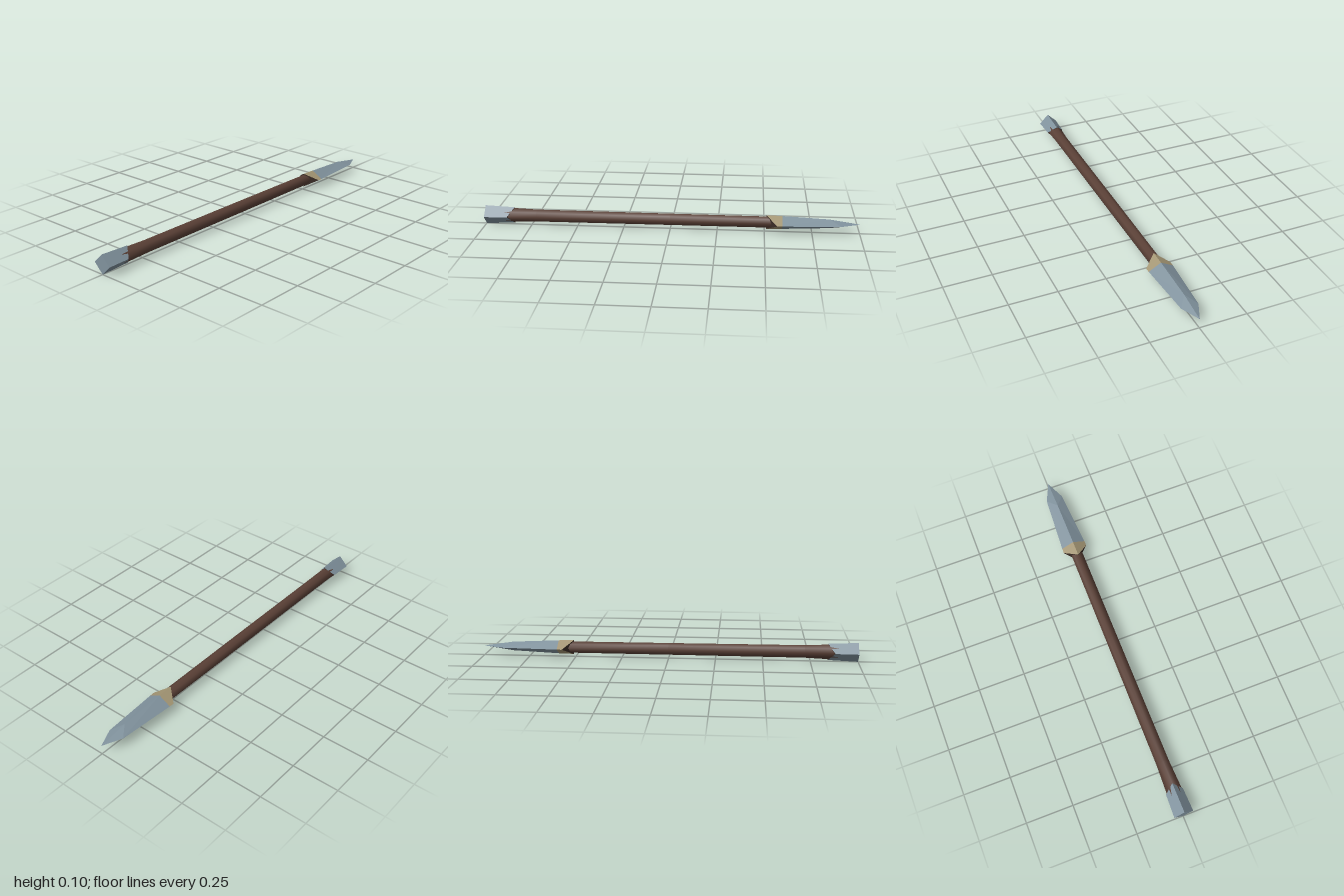
import * as THREE from 'three';

const MID = 0.051; // height of the long axis

const material = (name, color) => {
  const m = new THREE.MeshStandardMaterial({ color });
  m.name = name;
  return m;
};

// Diamond cross-section: top, front side, bottom, back side.
// The side corners may sit at another x, which gives a chevron edge.
const diamond = (xRidge, xSide, h, w) => [
  [xRidge, h, 0], [xSide, 0, w], [xRidge, -h, 0], [xSide, 0, -w],
];

// Eight-sided cross-section with separate axis and diagonal radii.
const octagon = (x, axis, diagonal) => Array.from({ length: 8 }, (_, i) => {
  const r = i % 2 ? diagonal : axis;
  const a = i * Math.PI / 4;
  return [x, r * Math.cos(a), r * Math.sin(a)];
});

// Skin between successive rings.
function loft(rings, smooth = false) {
  const n = rings[0].length;
  const index = [];
  for (let s = 0; s < rings.length - 1; s++) {
    for (let i = 0; i < n; i++) {
      const a = s * n + i, b = s * n + (i + 1) % n;
      index.push(a, b, a + n, b, b + n, a + n);
    }
  }
  return finish(rings.flat(), index, smooth);
}

// Two triangles closing a diamond ring, folded along the ridge line.
function endFace(ring, facesBack) {
  return finish(ring, facesBack ? [0, 2, 1, 0, 3, 2] : [0, 1, 2, 0, 2, 3], false);
}

function finish(points, index, smooth) {
  let g = new THREE.BufferGeometry();
  g.setAttribute('position', new THREE.Float32BufferAttribute(points.flat(), 3));
  g.setIndex(index);
  if (!smooth) g = g.toNonIndexed();
  g.computeVertexNormals();
  return g;
}

export function createModel() {
  const steel = material('steel', 0x80929d);
  const wood = material('wood', 0x5a4036);
  const darkWood = material('dark socket', 0x3a2c26);
  const tan = material('tan binding', 0xa39573);

  const model = new THREE.Group();
  model.name = 'spear';
  const add = (name, geometry, mat, parent = model) => {
    const mesh = new THREE.Mesh(geometry, mat);
    mesh.name = name;
    parent.add(mesh);
  };

  // Shaft, flaring towards the butt
  add('shaft', loft([
    octagon(-0.9, 0.042, 0.033),
    octagon(-0.72, 0.034, 0.032),
    octagon(0, 0.032, 0.031),
    octagon(0.58, 0.031, 0.029),
  ], true), wood);

  // Butt cap with a notched front edge
  const butt = new THREE.Group();
  butt.name = 'buttCap';
  const buttBack = diamond(-1, -1, 0.051, 0.051);
  const buttFront = diamond(-0.842, -0.877, 0.044, 0.046);
  add('buttSides', loft([buttBack, buttFront]), steel, butt);
  add('buttEnd', endFace(buttBack, true), steel, butt);
  add('buttSocket', endFace(buttFront, false), darkWood, butt);
  model.add(butt);

  // Spearhead: tan collar, then the steel blade
  const head = new THREE.Group();
  head.name = 'spearhead';
  const collarBack = diamond(0.51, 0.565, 0.038, 0.066);
  const collarFront = diamond(0.592, 0.592, 0.036, 0.065);
  add('collar', loft([collarBack, collarFront]), tan, head);
  add('collarSocket', endFace(collarBack, true), darkWood, head);
  add('blade', loft([
    collarFront,
    diamond(0.84, 0.9, 0.024, 0.045),
    diamond(1, 1, 0, 0),
  ]), steel, head);
  model.add(head);

  model.children.forEach((part) => { part.position.y = MID; });
  return model;
}
